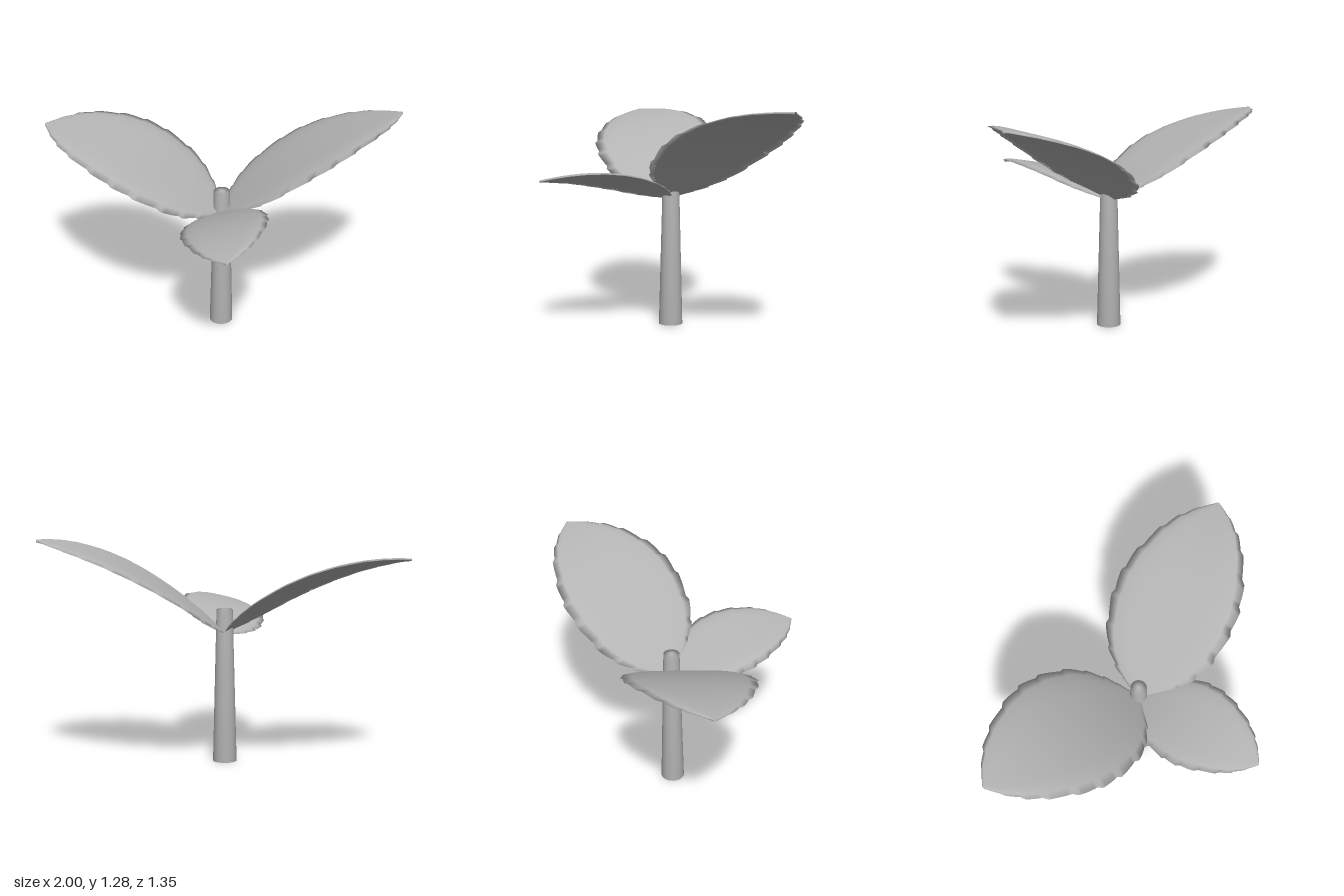
import * as THREE from 'three';

const STEM_X = 0.05, STEM_Z = -0.096;

// Leaf outline: (fraction along the spine, half width as a fraction of the widest)
const outline = new THREE.SplineCurve([
  [0, 0.04], [0.04, 0.28], [0.1, 0.56], [0.22, 0.86], [0.42, 1], [0.6, 0.93],
  [0.8, 0.65], [0.92, 0.34], [1, 0.02],
].map(([t, w]) => new THREE.Vector2(t, w)));

// A thin solid leaf with an arched spine, sideways tilt, soft rim and toothed edge
function leafGeometry({ tip, baseY, tipY, arch, halfWidth, bank }) {
  const rows = 72, cols = 14, loop = cols * 2, thickness = 0.014, rimDrop = 0.015;
  const pos = [], index = [];
  const along = new THREE.Vector2(tip[0] - STEM_X, tip[1] - STEM_Z);
  const side = new THREE.Vector2(-along.y, along.x).normalize();
  for (let i = 0; i <= rows; i++) {
    const { x: t, y: width } = outline.getPoint(i / rows);
    const w = Math.max(width, 0.01);
    const tooth = ((i % 6) / 5 - 0.5) * 0.04 * Math.min(1, w * 2);
    for (let k = 0; k < loop; k++) {
      // across the top, then back along the underside
      const s = (k <= cols ? k : loop - k) / cols * 2 - 1;
      const rim = s ** 6;
      const across = s * halfWidth * (w + tooth * rim);
      const skin = (k <= cols ? 0.5 : -0.5) * thickness * (1 - rim);
      pos.push(
        STEM_X + along.x * t + side.x * across,
        baseY + (tipY - baseY) * t + arch * 4 * t * (1 - t) + bank * across - rimDrop * w * rim + skin,
        STEM_Z + along.y * t + side.y * across,
      );
      if (i < rows) {
        const a = i * loop + k, a2 = i * loop + (k + 1) % loop;
        index.push(a, a2, a + loop, a2, a2 + loop, a + loop);
      }
    }
  }
  const geometry = new THREE.BufferGeometry();
  geometry.setAttribute('position', new THREE.Float32BufferAttribute(pos, 3));
  geometry.setIndex(index);
  geometry.computeVertexNormals();
  return geometry;
}

export function createModel() {
  const model = new THREE.Group();
  model.name = 'sprout';
  const grey = new THREE.MeshStandardMaterial({ color: 0xb4b4b4, side: THREE.DoubleSide });
  grey.name = 'plain grey';

  // Tapered stem, smooth shaded across its ends
  const profile = [[0, 0], [0.01, 0], [0.068, 0], [0.046, 0.875], [0.01, 0.875], [0, 0.875]];
  const stem = new THREE.Mesh(
    new THREE.LatheGeometry(profile.map(([r, y]) => new THREE.Vector2(r, y)), 32), grey);
  stem.name = 'stem';
  stem.position.set(STEM_X, 0, STEM_Z);
  model.add(stem);

  // Two large leaves and a smaller front one, each tilted to one side
  const leaves = {
    rightLeaf: { tip: [-1, -0.098], baseY: 0.74, tipY: 1.172, arch: 0.105, halfWidth: 0.357, bank: 0.13 },
    leftLeaf: { tip: [1, -0.535], baseY: 0.74, tipY: 1.272, arch: 0.104, halfWidth: 0.36, bank: 0.125 },
    frontLeaf: { tip: [0.265, 0.672], baseY: 0.735, tipY: 0.87, arch: 0.062, halfWidth: 0.24, bank: -0.235 },
  };
  for (const [name, shape] of Object.entries(leaves)) {
    const leaf = new THREE.Mesh(leafGeometry(shape), grey);
    leaf.name = name;
    model.add(leaf);
  }
  return model;
}
